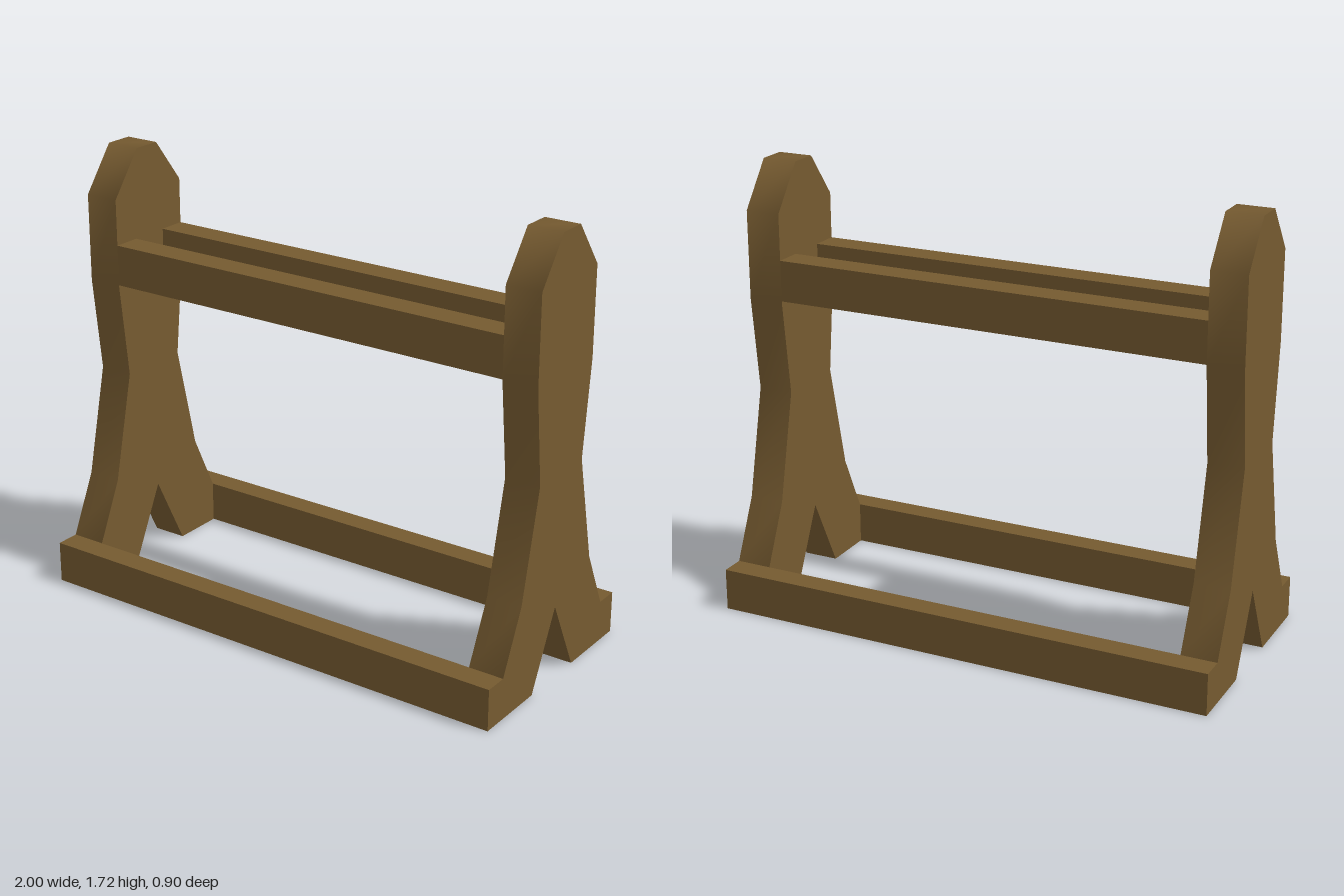
import * as THREE from 'three';
import { toCreasedNormals } from 'three/addons/utils/BufferGeometryUtils.js';

export function createModel() {
  const group = new THREE.Group();
  const wood = new THREE.MeshStandardMaterial({ color: 0x755a30 });

  const add = (name, geometry, x, y, z) => {
    const mesh = new THREE.Mesh(geometry, wood);
    mesh.name = name;
    mesh.position.set(x, y, z);
    group.add(mesh);
  };

  // Half outline of an end panel (z, y), from notch apex round to the top
  const half = [
    [0.145, 0], [0.355, 0], [0.355, 0.165], [0.245, 0.4], [0.148, 0.825],
    [0.19, 1.2], [0.19, 1.545], [0.057, 1.72],
  ];
  const outline = [[0, 0.295], ...half, ...half.map(([z, y]) => [-z, y]).reverse()];
  const shape = new THREE.Shape(outline.map(([z, y]) => new THREE.Vector2(z, y)));
  const thickness = 0.14;
  const panel = toCreasedNormals(
    new THREE.ExtrudeGeometry(shape, { depth: thickness, bevelEnabled: false })
      .translate(0, 0, -thickness / 2).rotateY(Math.PI / 2),
    1.0
  );
  add('leftEndPanel', panel, 0.93, 0, 0);
  add('rightEndPanel', panel, -0.93, 0, 0);

  // Rails: long ones along the feet, short ones between the panels
  const footRail = new THREE.BoxGeometry(2, 0.165, 0.095);
  const upperRail = new THREE.BoxGeometry(1.72, 0.16, 0.11);
  for (const [side, s] of [['front', 1], ['back', -1]]) {
    add(side + 'FootRail', footRail, 0, 0.0825, s * 0.4025);
    add(side + 'UpperRail', upperRail, 0, 1.285, s * 0.135);
  }

  return group;
}
